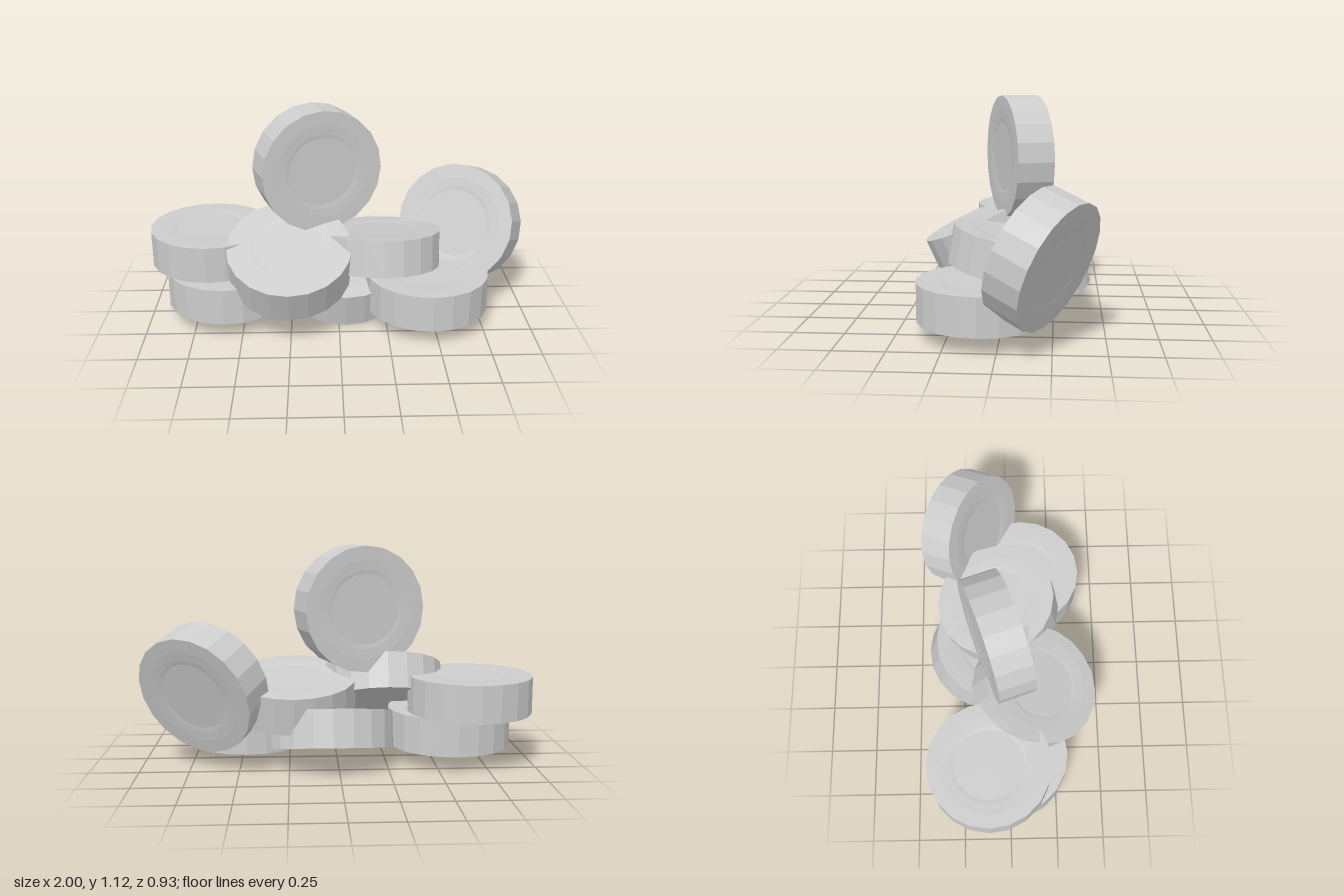
import * as THREE from 'three';

const RADIUS = 0.32;
const HALF = 0.095;
const SIDES = 20;

// Disc profile from the bottom centre to the top centre, with a shallow dish in each face
function discGeometry() {
  const rim = [[0, HALF - 0.006], [0.18, HALF - 0.006], [0.2, HALF - 0.003], [0.25, HALF], [RADIUS, HALF]];
  const bottom = rim.map(([r, y]) => new THREE.Vector2(r, -y));
  const top = rim.map(([r, y]) => new THREE.Vector2(r, y)).reverse();
  return new THREE.LatheGeometry([...bottom, ...top], SIDES);
}

export function createModel() {
  const group = new THREE.Group();
  group.name = 'discPile';
  const grey = new THREE.MeshStandardMaterial({ color: 0xcccccc, flatShading: true });
  grey.name = 'lightGrey';
  const geometry = discGeometry();
  const up = new THREE.Vector3(0, 1, 0);

  // name, centre, axis direction
  const discs = [
    ['upperFlatDisc', [-0.68, 0.37, -0.11], [0, 1, 0]],
    ['lowerFlatDisc', [-0.59, 0.18, -0.015], [0, 1, 0]],
    ['frontFlatDisc', [0.465, 0.18, 0.085], [0, 1, 0]],
    ['bottomTiltedDisc', [0.035, 0.179, -0.106], [0, 0.966, 0.257]],
    ['frontTiltedDisc', [-0.255, 0.369, 0.134], [0, 0.91, 0.42]],
    ['middleTiltedDisc', [0.225, 0.36, -0.05], [0, 0.98, -0.18]],
    ['uprightDisc', [-0.11, 0.805, -0.06], [0.32, 0, 0.945]],
    ['leaningDisc', [0.675, 0.425, -0.205], [-0.46, 0.34, 0.82]],
  ];

  for (const [name, centre, axis] of discs) {
    const disc = new THREE.Mesh(geometry, grey);
    disc.name = name;
    disc.position.set(...centre);
    disc.quaternion.setFromUnitVectors(up, new THREE.Vector3(...axis).normalize());
    group.add(disc);
  }
  return group;
}
